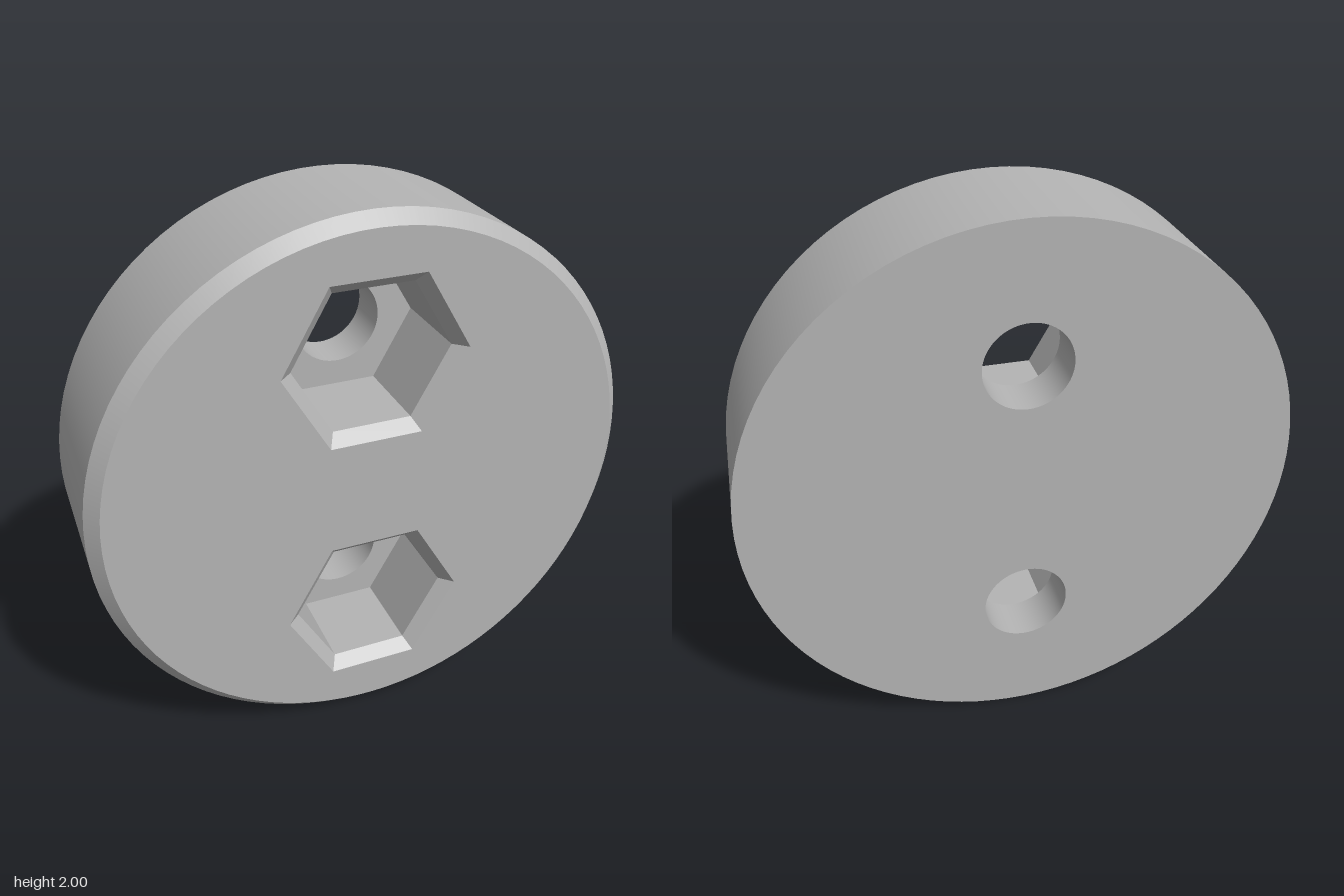
import * as THREE from 'three';
import { mergeGeometries } from 'three/addons/utils/BufferGeometryUtils.js';

const ROUND = 96;
const FRONT = 0.27, BACK = -0.27, CHAMFER = 0.045;
const FLOOR = -0.1;                       // bottom of the hexagonal pockets
const HEX_OUT = 0.335, HEX_IN = 0.287, BORE = 0.157;
const CENTRES = [0.5, -0.5];              // pocket heights from the disc centre

// Corner points of a regular polygon
function ring(r, sides, cy = 0) {
  return Array.from({ length: sides }, (_, i) => {
    const a = (i / sides) * Math.PI * 2;
    return new THREE.Vector2(r * Math.cos(a), cy + r * Math.sin(a));
  });
}

// Flat plate facing +z with holes
function plate(outline, holes, z) {
  const shape = new THREE.Shape(outline);
  holes.forEach(h => shape.holes.push(new THREE.Path(h)));
  return new THREE.ShapeGeometry(shape).translate(0, 0, z);
}

// Open wall around the z axis, from radius r0 at z0 to r1 at z1
function wall(r0, z0, r1, z1, sides, inward = false) {
  let g = new THREE.CylinderGeometry(r1, r0, z1 - z0, sides, 1, true, Math.PI / 2)
    .rotateX(Math.PI / 2).translate(0, 0, (z0 + z1) / 2);
  if (inward) {
    g.index.array.reverse();
    const n = g.attributes.normal;
    for (let i = 0; i < n.count; i++) n.setXYZ(i, -n.getX(i), -n.getY(i), -n.getZ(i));
  }
  g = g.toNonIndexed();
  if (sides === 6) g.computeVertexNormals();
  return g;
}

export function createModel() {
  const model = new THREE.Group();
  model.name = 'disc';
  const grey = new THREE.MeshStandardMaterial({ color: 0xb4b4b4 });
  grey.name = 'grey';

  const add = (name, geometry, y = 1) => {
    const mesh = new THREE.Mesh(geometry, grey);
    mesh.name = name;
    mesh.position.y = y;
    model.add(mesh);
  };

  // Disc body
  add('rim', wall(1, BACK, 1, FRONT - CHAMFER, ROUND));
  add('rimChamfer', wall(1, FRONT - CHAMFER, 1 - CHAMFER, FRONT, ROUND));
  add('frontFace', plate(ring(1 - CHAMFER, ROUND), CENTRES.map(c => ring(HEX_OUT, 6, c)), FRONT));
  add('backFace', plate(ring(1, ROUND), CENTRES.map(c => ring(BORE, ROUND, c)), -BACK).rotateY(Math.PI));

  // Chamfered hexagonal pockets with round through holes
  CENTRES.forEach((c, i) => {
    const side = i === 0 ? 'upper' : 'lower';
    add(side + 'Pocket', mergeGeometries([
      wall(HEX_IN, FRONT - CHAMFER, HEX_OUT, FRONT, 6, true),
      wall(HEX_IN, FLOOR, HEX_IN, FRONT - CHAMFER, 6, true),
      plate(ring(HEX_IN, 6), [ring(BORE, ROUND)], FLOOR).toNonIndexed(),
    ]), 1 + c);
    add(side + 'Bore', wall(BORE, BACK, BORE, FLOOR, ROUND, true), 1 + c);
  });

  return model;
}
